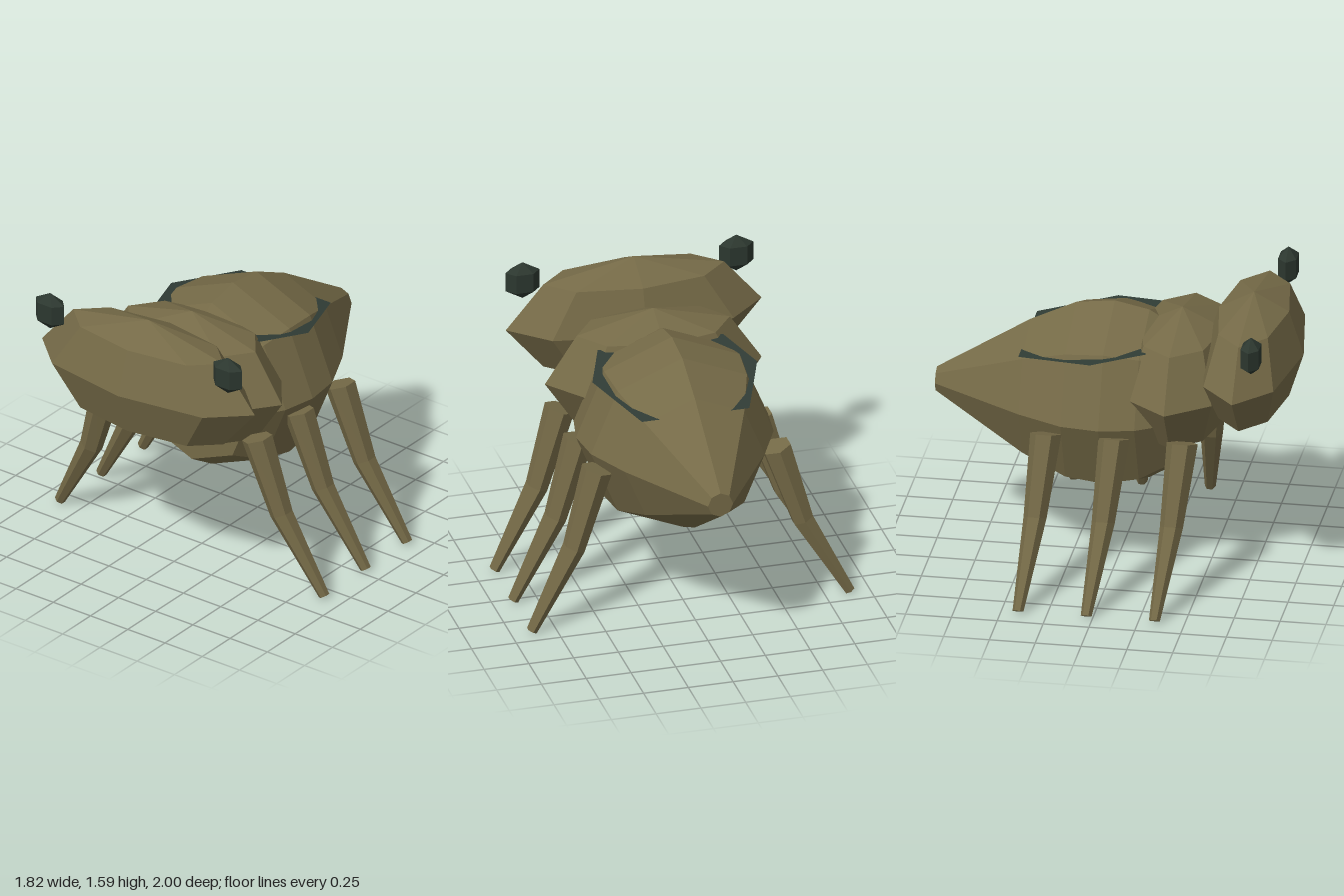
import * as THREE from 'three';

// Tapered six-sided limb along a bent path, mitred at the joints
function limbGeometry(path, radii) {
  const sides = 6, pos = [], idx = [];
  const axisZ = new THREE.Vector3(0, 0, 1);
  path.forEach((p, i) => {
    const dir = new THREE.Vector3();
    if (i > 0) dir.add(p.clone().sub(path[i - 1]).normalize());
    if (i < path.length - 1) dir.add(path[i + 1].clone().sub(p).normalize());
    dir.z = 0;
    dir.normalize();
    const across = new THREE.Vector3().crossVectors(dir, axisZ);
    for (let k = 0; k < sides; k++) {
      const a = (k / sides) * Math.PI * 2;
      const v = p.clone()
        .addScaledVector(axisZ, Math.cos(a) * radii[i])
        .addScaledVector(across, Math.sin(a) * radii[i]);
      pos.push(v.x, v.y, v.z);
    }
  });
  for (let i = 0; i < path.length - 1; i++) {
    for (let k = 0; k < sides; k++) {
      const a = i * sides + k, b = i * sides + (k + 1) % sides;
      idx.push(a, b, a + sides, b, b + sides, a + sides);
    }
  }
  // End caps
  const last = (path.length - 1) * sides;
  for (let k = 1; k < sides - 1; k++) {
    idx.push(0, k + 1, k);
    idx.push(last, last + k, last + k + 1);
  }
  const geo = new THREE.BufferGeometry();
  geo.setAttribute('position', new THREE.Float32BufferAttribute(pos, 3));
  geo.setIndex(idx);
  geo.computeVertexNormals();
  return geo;
}

export function createModel() {
  const model = new THREE.Group();
  model.name = 'insect';

  const shell = new THREE.MeshStandardMaterial({ name: 'olive shell', color: 0x756a47, flatShading: true });
  const eyeDark = new THREE.MeshStandardMaterial({ name: 'eye dark green', color: 0x2c372f, flatShading: true });
  const wingDark = new THREE.MeshStandardMaterial({
    name: 'wing dark green', color: 0x303c35, flatShading: true, side: THREE.DoubleSide,
  });

  const add = (name, geometry, material, x = 0, y = 0, z = 0) => {
    const mesh = new THREE.Mesh(geometry, material);
    mesh.name = name;
    mesh.position.set(x, y, z);
    model.add(mesh);
    return mesh;
  };
  const ellipsoid = (rx, ry, rz, w, h) => new THREE.SphereGeometry(1, w, h).scale(rx, ry, rz);

  // Head and thorax: wide faceted ellipsoids
  add('head', ellipsoid(0.714, 0.35, 0.27, 8, 4), shell, 0, 1.245, 0.73);
  add('thorax', ellipsoid(0.605, 0.378, 0.325, 8, 4), shell, 0, 1.098, 0.34);

  // Abdomen: eight-sided profile running from blunt tail to front cap
  const profile = [
    [0, -1], [0.07, -1], [0.39, -0.49], [0.51, -0.24],
    [0.535, -0.03], [0.495, 0.16], [0.385, 0.34], [0, 0.34],
  ].map(([r, z]) => new THREE.Vector2(r, z));
  add('abdomen', new THREE.LatheGeometry(profile, 8).rotateX(Math.PI / 2), shell, 0, 0.95, 0);

  for (const side of [1, -1]) {
    const label = side > 0 ? 'left' : 'right';

    // Eye
    add(label + 'Eye', ellipsoid(0.11, 0.108, 0.066, 6, 3), eyeDark, side * 0.597, 1.491, 0.815);

    // Wing plate, mostly sunk into the abdomen
    const outline = [[0.08, 0.2], [0.35, 0.2], [0.46, -0.09], [0.3, -0.51], [0.08, -0.51]]
      .map(([x, z]) => new THREE.Vector2(side * x, -z));
    const wing = add(label + 'Wing',
      new THREE.ShapeGeometry(new THREE.Shape(outline)).rotateX(-Math.PI / 2), wingDark, 0, 1.314, 0);
    wing.rotation.x = -0.128;

    // Three legs
    ['Front', 'Middle', 'Rear'].forEach((row, i) => {
      const path = [[0.5, 0.9, 0.085], [0.638, 0.463, 0.05], [0.887, 0.018, 0]]
        .map(([x, y, z]) => new THREE.Vector3(side * x, y, z));
      add(label + row + 'Leg', limbGeometry(path, [0.085, 0.063, 0.03]), shell, 0, 0, 0.338 - i * 0.372);
    });
  }

  return model;
}
